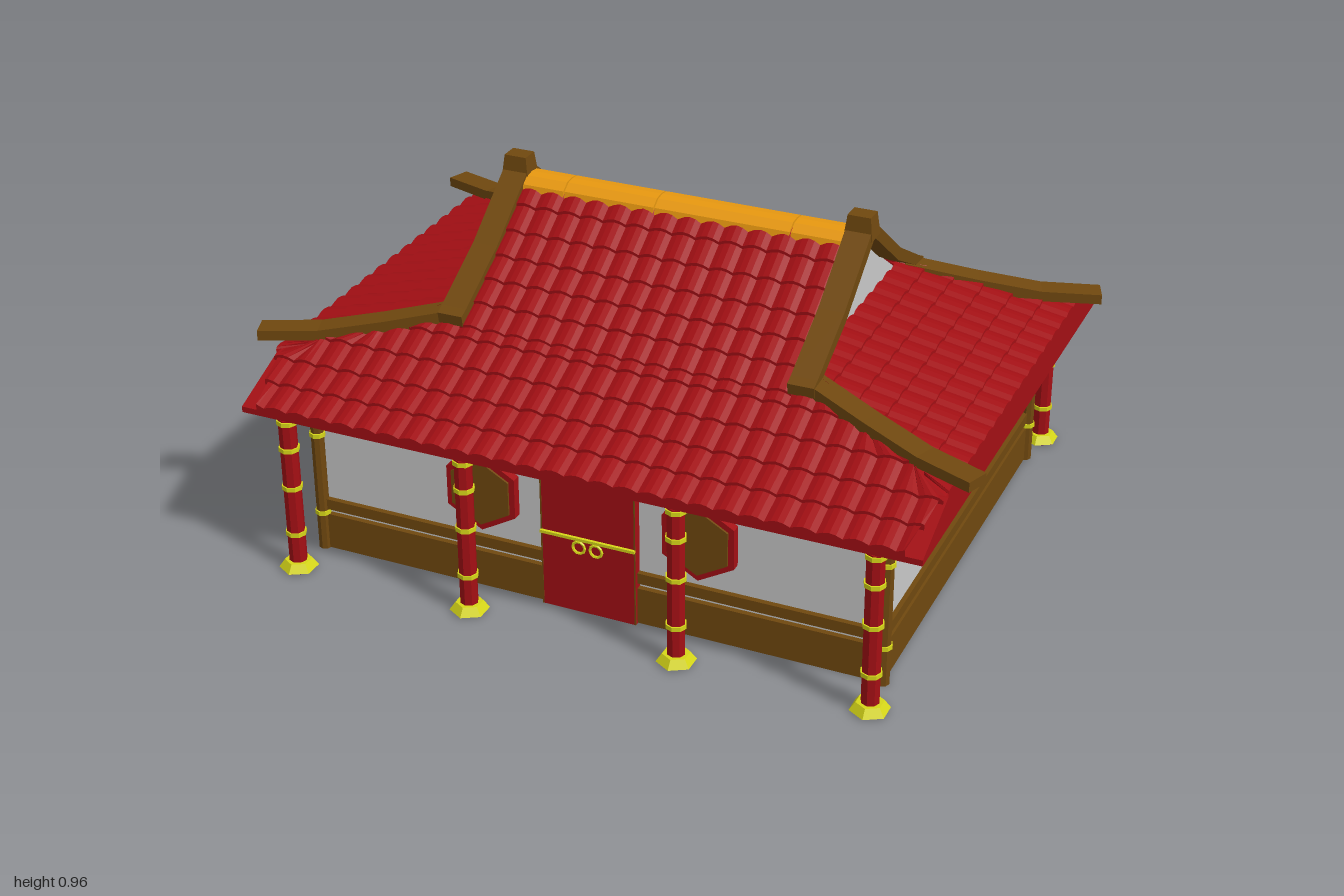
import * as THREE from 'three';

const mat = (name, color, extra = {}) => Object.assign(new THREE.MeshStandardMaterial({ color, ...extra }), { name });

export function createModel() {
  const root = new THREE.Group();
  root.name = 'pavilion';
  const red = mat('lacquer red', 0xa30f14, { flatShading: true, side: THREE.DoubleSide });
  const brown = mat('timber brown', 0x70480f, { flatShading: true });
  const plaster = mat('plaster grey', 0xc8c8c8, { flatShading: true });
  const yellow = mat('brass yellow', 0xd6d618, { flatShading: true });
  const orange = mat('ridge orange', 0xea9a10, { flatShading: true });
  const purple = mat('foot purple', 0xa8308a, { flatShading: true });

  const add = (name, geo, material, x = 0, y = 0, z = 0, parent = root) => {
    const m = new THREE.Mesh(geo, material);
    m.name = name;
    m.position.set(x, y, z);
    parent.add(m);
    return m;
  };
  // box given by its bottom height and top height
  const box = (name, material, w, y0, y1, d, x = 0, z = 0) =>
    add(name, new THREE.BoxGeometry(w, y1 - y0, d), material, x, (y0 + y1) / 2, z);
  // outline extruded to a centred thickness
  const plate = (pts, depth) => new THREE.ExtrudeGeometry(
    new THREE.Shape(pts.map(p => new THREE.Vector2(...p))), { depth, bevelEnabled: false }).translate(0, 0, -depth / 2);
  const mirrored = pts => [...pts, ...pts.filter(p => p[0] > 0).reverse().map(([x, y]) => [-x, y])];

  // Walls and plinth
  box('floorAndWalls', plaster, 1.56, 0, 0.45, 1.19);
  box('plinth', brown, 1.585, 0.002, 0.105, 1.22);
  box('wallRail', brown, 1.585, 0.12, 0.15, 1.22);
  box('topTrim', yellow, 1.575, 0.432, 0.445, 1.205);

  // Round post with brass rings
  const post = (name, material, r, x, z, rings) => {
    const g = new THREE.Group();
    g.name = name;
    g.position.set(x, 0, z);
    root.add(g);
    add('shaft', new THREE.CylinderGeometry(r, r, 0.45, 8), material, 0, 0.225, 0, g);
    rings.forEach(y => add('ring', new THREE.CylinderGeometry(r + 0.004, r + 0.004, 0.012, 8), yellow, 0, y, 0, g));
    return g;
  };
  for (const sz of [-1, 1]) {
    for (const sx of [-1, 1]) post('cornerPost', brown, 0.018, sx * 0.79, sz * 0.605, [0.11, 0.345]);
    for (const x of [-0.8, -0.29, 0.29, 0.8]) {
      const g = post('column', red, 0.024, x, sz * 0.725, [0.11, 0.248, 0.362, 0.44]);
      add('foot', new THREE.CylinderGeometry(0.036, 0.052, 0.022, 6), yellow, 0, 0.015, 0, g);
      add('footSole', new THREE.CylinderGeometry(0.052, 0.045, 0.004, 6), purple, 0, 0.002, 0, g);
    }
  }

  // Door with lock bar and ring handles
  box('door', red, 0.264, 0, 0.435, 0.03, 0, 0.605);
  box('doorBar', yellow, 0.264, 0.216, 0.224, 0.008, 0, 0.624);
  for (const s of [-1, 1]) {
    box('doorSeam', brown, 0.004, 0, 0.435, 0.004, s * 0.13, 0.619);
    add('doorRing', new THREE.TorusGeometry(0.017, 0.004, 5, 10), yellow, s * 0.024, 0.195, 0.624);
  }

  // Hexagonal windows
  const hex = r => Array.from({ length: 6 }, (_, i) => {
    const a = Math.PI / 2 + i * Math.PI / 3;
    return [r * Math.cos(a), r * Math.sin(a)];
  });
  for (const s of [-1, 1]) {
    add('windowFrame', plate(hex(0.112), 0.03), red, s * 0.302, 0.29, 0.605);
    add('windowPanel', plate(hex(0.094), 0.008), brown, s * 0.302, 0.29, 0.622);
  }

  // Eave block and hipped core under the tiles
  const eave = mirrored([[0.745, 0.45], [0.745, 0.466], [0.57, 0.538]]);
  add('eave', plate(eave, 1.84).rotateY(-Math.PI / 2), red);
  const core = new THREE.BoxGeometry(1.84, 0.125, 1.14);
  const p = core.attributes.position;
  for (let i = 0; i < p.count; i++)
    if (p.getY(i) > 0) p.setXYZ(i, Math.sign(p.getX(i)) * 0.47, p.getY(i), Math.sign(p.getZ(i)) * 0.33);
  add('hipCore', core, red, 0, 0.5985, 0);

  // Rows of arched tiles down a slope; profile is [distance out, height]
  const tiles = (profile, halfWidth, rows, pitch) => {
    const r0 = profile[0][0], r1 = profile[profile.length - 1][0], v = [], seg = 4;
    const height = r => {
      const i = Math.max(1, profile.findIndex(q => q[0] >= r - 1e-6));
      const [a, b] = [profile[i - 1], profile[i]];
      return a[1] + (b[1] - a[1]) * (r - a[0]) / (b[0] - a[0]);
    };
    const pt = (x, r, h) => {
      const w = halfWidth(r);
      return [Math.max(-w, Math.min(w, x)), height(r) + h, r];
    };
    const quad = (a, b, c, d) => v.push(...a, ...b, ...c, ...a, ...c, ...d);
    for (let i = 0; i < rows; i++) {
      const ra = r0 + (r1 - r0) * i / rows, rb = r0 + (r1 - r0) * (i + 1) / rows;
      const w = halfWidth(rb), n = Math.ceil(w / pitch);
      for (let k = -n; k < n; k++) for (let j = 0; j < seg; j++) {
        const f = [j / seg, (j + 1) / seg], x = f.map(t => (k + t) * pitch);
        if (x[0] >= w || x[1] <= -w) continue;
        const h = f.map(t => 0.009 * Math.sin(Math.PI * t));
        quad(pt(x[0], rb, h[0] + 0.008), pt(x[1], rb, h[1] + 0.008), pt(x[1], ra, h[1]), pt(x[0], ra, h[0]));
        quad(pt(x[0], rb, -0.004), pt(x[1], rb, -0.004), pt(x[1], rb, h[1] + 0.008), pt(x[0], rb, h[0] + 0.008));
      }
    }
    const g = new THREE.BufferGeometry();
    g.setAttribute('position', new THREE.Float32BufferAttribute(v, 3));
    g.computeVertexNormals();
    return g;
  };
  const upper = tiles([[0.03, 0.89], [0.2, 0.762], [0.41, 0.628]], () => 0.46, 6, 0.0657);
  const lower = tiles([[0.36, 0.65], [0.57, 0.54], [0.745, 0.466]],
    r => Math.min(0.92 - Math.max(0, r - 0.57) * 0.25, 0.47 + (r - 0.33) * 1.875), 5, 0.0657);
  const side = tiles([[0.47, 0.668], [0.92, 0.54]], r => 0.33 + (r - 0.47) * 0.533, 6, 0.073);
  for (const a of [0, Math.PI]) {
    add('upperTiles', upper, red).rotation.y = a;
    add('lowerTiles', lower, red).rotation.y = a;
    add('sideTiles', side, red).rotation.y = a + Math.PI / 2;
  }

  // Gable wall and ridge cap
  add('gable', plate(mirrored([[0.36, 0.64], [0.2, 0.75], [0, 0.895]]), 0.93).rotateY(-Math.PI / 2), plaster);
  const cap = mirrored([[0.056, 0.872], [0.05, 0.892], [0.026, 0.909], [0, 0.912]]);
  [-0.395, -0.2, 0.12, 0.385].forEach((x, i) => {
    const w = [0.126, 0.256, 0.376, 0.146][i];
    add('ridgeCap', plate(cap, w).rotateY(-Math.PI / 2), orange, x, 0, 0);
  });

  // Gable beams, ridge ends and curved hip beams
  const verge = [[0, 0.895], [0.2, 0.745], [0.41, 0.635], [0.415, 0.665], [0.39, 0.676], [0.21, 0.778], [0.03, 0.915], [0, 0.925]];
  const hip = [[0, 0.625], [0.2, 0.595], [0.36, 0.572], [0.53, 0.567], [0.53, 0.594], [0.37, 0.6], [0.2, 0.63], [0, 0.672]];
  for (const sx of [-1, 1]) {
    const full = [...verge.slice(0, -1), ...verge.slice(1, -1).reverse().map(([z, y]) => [-z, y])];
    // outline runs down the front half, back up over the ridge and round the rear half
    add('gableBeam', plate(full, 0.07).rotateY(-Math.PI / 2), brown, sx * 0.485, 0, 0);
    const end = box('ridgeEnd', brown, 0.07, 0.895, 0.957, 0.056, sx * 0.485, 0);
    end.geometry = new THREE.CylinderGeometry(0.025 * Math.SQRT2, 0.031 * Math.SQRT2, 0.062, 4)
      .rotateY(Math.PI / 4).scale(1.25, 1, 1);
    for (const sz of [-1, 1])
      add('hipBeam', plate(hip, 0.065).rotateY(Math.atan2(-sz * 0.185, sx * 0.5)), brown, sx * 0.485, 0, sz * 0.362);
  }
  return root;
}
